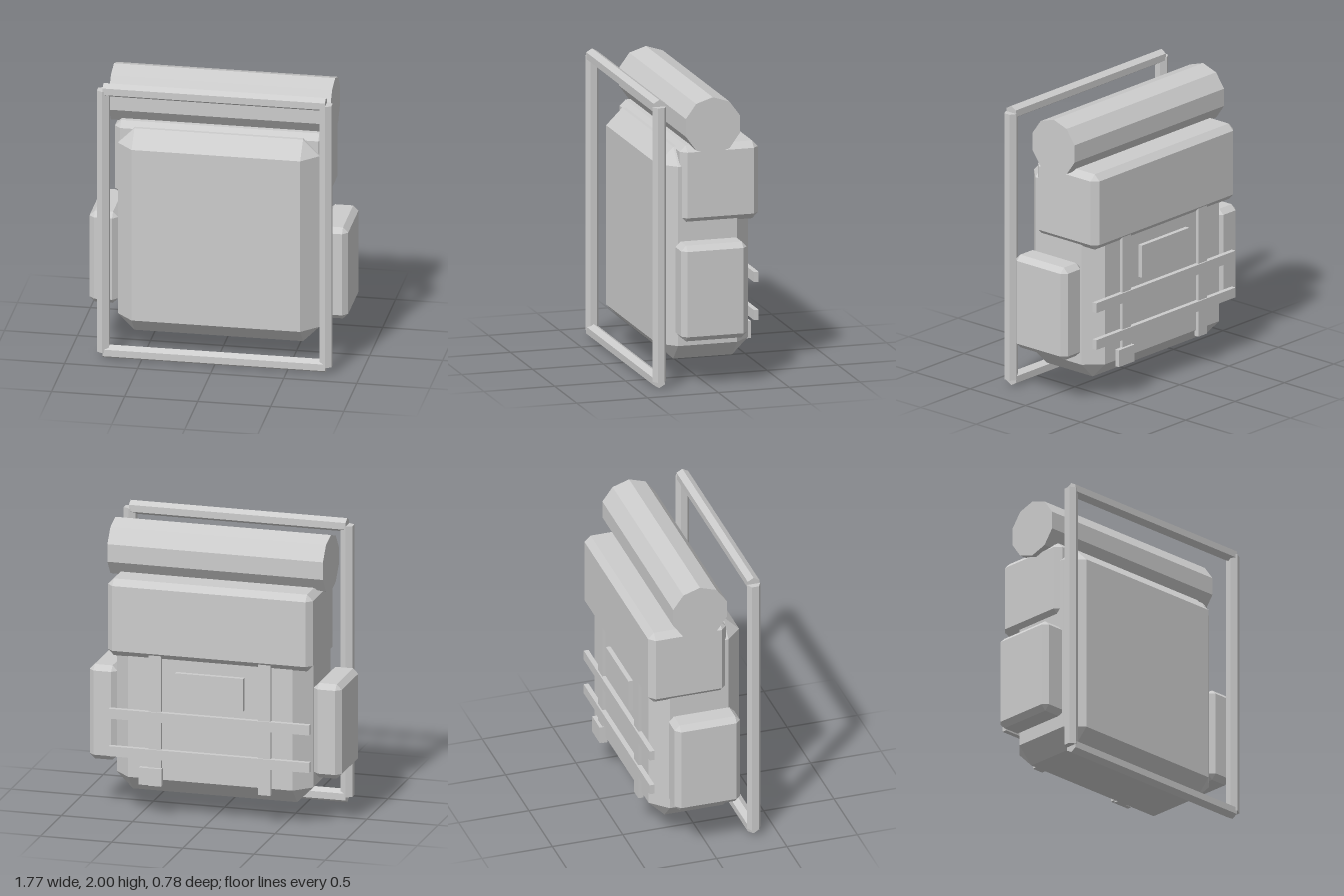
import * as THREE from 'three';
import { ConvexGeometry } from 'three/addons/geometries/ConvexGeometry.js';

// Box between two corners with every edge cut at 45 degrees
function chamferBox(min, max, c) {
  const mid = min.map((v, i) => (v + max[i]) / 2);
  const half = min.map((v, i) => (max[i] - v) / 2);
  const points = [];
  for (const sx of [-1, 1]) for (const sy of [-1, 1]) for (const sz of [-1, 1]) {
    const s = [sx, sy, sz];
    for (let full = 0; full < 3; full++) {
      points.push(new THREE.Vector3(...s.map((d, i) => mid[i] + d * (half[i] - (i === full ? 0 : c)))));
    }
  }
  return new ConvexGeometry(points);
}

function plainBox(min, max) {
  const g = new THREE.BoxGeometry(...max.map((v, i) => v - min[i]));
  return g.translate(...max.map((v, i) => (v + min[i]) / 2));
}

// Prism along x with a vertex pointing straight up
function prismX(radius, length, sides) {
  return new THREE.CylinderGeometry(radius, radius, length, sides).rotateY(Math.PI / 2).rotateZ(Math.PI / 2);
}

export function createModel() {
  const model = new THREE.Group();
  model.name = 'backpack';
  const grey = new THREE.MeshStandardMaterial({ color: 0xcccccc, flatShading: true });
  grey.name = 'grey';

  const add = (name, geometry) => {
    const mesh = new THREE.Mesh(geometry, grey);
    mesh.name = name;
    model.add(mesh);
    return mesh;
  };

  // Main bag, lid compartment and bedroll
  add('mainBag', chamferBox([-0.69, 0.15, -0.342], [0.69, 1.62, 0.3], 0.113));
  add('lid', chamferBox([-0.72, 1.11, -0.38], [0.72, 1.65, 0.173], 0.042));
  add('bedroll', prismX(0.2, 1.514, 10)).position.set(0, 1.79, -0.037);

  // Hexagonal carrying frame
  const r = 0.0475, frameZ = 0.342;
  for (const [name, y] of [['frameBottom', r], ['frameTop', 2 - r]]) {
    add(name, prismX(r, 1.522, 6)).position.set(0, y, frameZ);
  }
  for (const [side, s] of [['left', 1], ['right', -1]]) {
    add(side + 'FramePost', new THREE.CylinderGeometry(r, r, 1.905, 6)).position.set(s * 0.762, 1, frameZ);

    // Side pocket
    add(side + 'Pocket', chamferBox([-0.098, 0.333, -0.248], [0.098, 0.997, 0.217], 0.036)).position.x = s * 0.787;

    // Upright strap
    add(side + 'UprightStrap', plainBox([-0.044, 0.22, -0.366], [0.044, 1.2, -0.33])).position.x = s * 0.385;
  }

  // Cross straps
  for (const [name, y] of [['upperCrossStrap', 0.707], ['lowerCrossStrap', 0.443]]) {
    add(name, plainBox([-0.705, y - 0.035, -0.377], [0.705, y + 0.035, -0.343]));
  }

  // Patch and small tag
  add('patch', plainBox([-0.24, 0.8, -0.374], [0.24, 1.03, -0.33]));
  add('tag', plainBox([0.33, 0.23, -0.388], [0.49, 0.35, -0.356]));

  return model;
}
